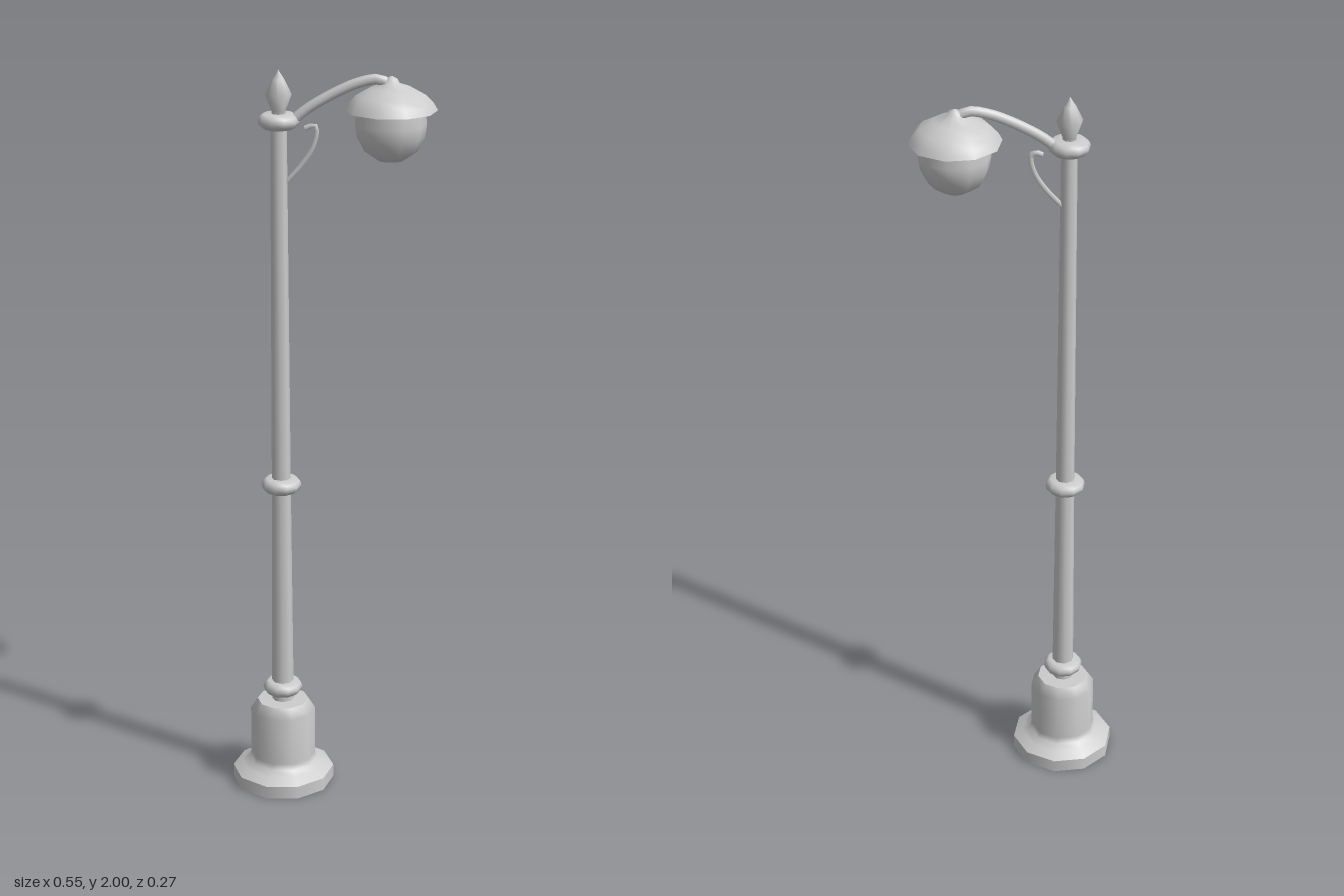
import * as THREE from 'three';

const POLE_X = -0.133;
const LAMP_X = 0.153;

export function createModel() {
  const model = new THREE.Group();
  model.name = 'streetLamp';
  const metal = new THREE.MeshStandardMaterial({ color: 0xcccccc });
  metal.name = 'light grey metal';

  // Turned part: each section is a smooth run of [radius, height], sharp between sections
  function turned(name, x, sides, ...sections) {
    const group = new THREE.Group();
    group.name = name;
    for (const section of sections) {
      const points = section.map(([r, y]) => new THREE.Vector2(r, y));
      const geometry = new THREE.LatheGeometry(points, sides);
      geometry.rotateY(Math.PI / 2);
      const mesh = new THREE.Mesh(geometry, metal);
      mesh.name = name + 'Surface';
      group.add(mesh);
    }
    group.position.x = x;
    model.add(group);
  }

  // Bent rod through [x, y] points in the z = 0 plane, with closed ends
  function rod(name, coords, radius, sides) {
    const curve = new THREE.CatmullRomCurve3(coords.map(([x, y]) => new THREE.Vector3(x, y, 0)));
    const group = new THREE.Group();
    group.name = name;
    group.add(new THREE.Mesh(new THREE.TubeGeometry(curve, 14, radius, sides), metal));
    for (const t of [0, 1]) {
      const cap = new THREE.Mesh(new THREE.CircleGeometry(radius, sides), metal);
      cap.position.copy(curve.getPoint(t));
      const outward = curve.getTangent(t).multiplyScalar(t ? 1 : -1);
      cap.quaternion.setFromUnitVectors(new THREE.Vector3(0, 0, 1), outward);
      group.add(cap);
    }
    group.children.forEach((m) => { m.name = name + 'Piece'; });
    model.add(group);
  }

  // Stepped base
  turned('base', POLE_X, 10,
    [[0, 0], [0.14, 0]],
    [[0.14, 0], [0.14, 0.036]],
    [[0.14, 0.036], [0.115, 0.052], [0.095, 0.064], [0.089, 0.08], [0.089, 0.215], [0.07, 0.243]],
    [[0.07, 0.243], [0, 0.245]]);

  // Tapering pole
  turned('pole', POLE_X, 8, [[0.03, 0.24], [0.0255, 0.88], [0.021, 1.88]]);

  // Rounded collars
  for (const [name, y] of [['lowerCollar', 0.281], ['middleCollar', 0.88], ['upperCollar', 1.869]]) {
    turned(name, POLE_X, 10, [
      [0.02, y - 0.019], [0.04, y - 0.019], [0.05, y - 0.011], [0.054, y],
      [0.05, y + 0.011], [0.04, y + 0.019], [0.015, y + 0.019],
    ]);
  }

  // Pointed finial
  turned('finial', POLE_X, 8, [[0.018, 1.88], [0.018, 1.895], [0.034, 1.937], [0.016, 1.975], [0, 2]]);

  // Arm carrying the lamp, and the small scroll bracket below it
  rod('arm', [[-0.1, 1.868], [-0.06, 1.9], [0.01, 1.941], [0.07, 1.967], [0.12, 1.976], [0.15, 1.962]], 0.0135, 8);
  rod('bracket', [[-0.114, 1.71], [-0.075, 1.755], [-0.047, 1.8], [-0.036, 1.845], [-0.042, 1.858], [-0.066, 1.85]], 0.007, 6);

  // Lamp shade with its knob and underside
  turned('shade', LAMP_X, 10,
    [[0.119, 1.897], [0.108, 1.916], [0.09, 1.935], [0.055, 1.954], [0.022, 1.965], [0.015, 1.978], [0, 1.985]],
    [[0, 1.912], [0.085, 1.91], [0.119, 1.897]]);

  // Globe
  turned('globe', LAMP_X, 10, [
    [0, 1.763], [0.035, 1.769], [0.068, 1.791], [0.087, 1.828], [0.092, 1.862], [0.086, 1.912],
  ]);

  return model;
}
